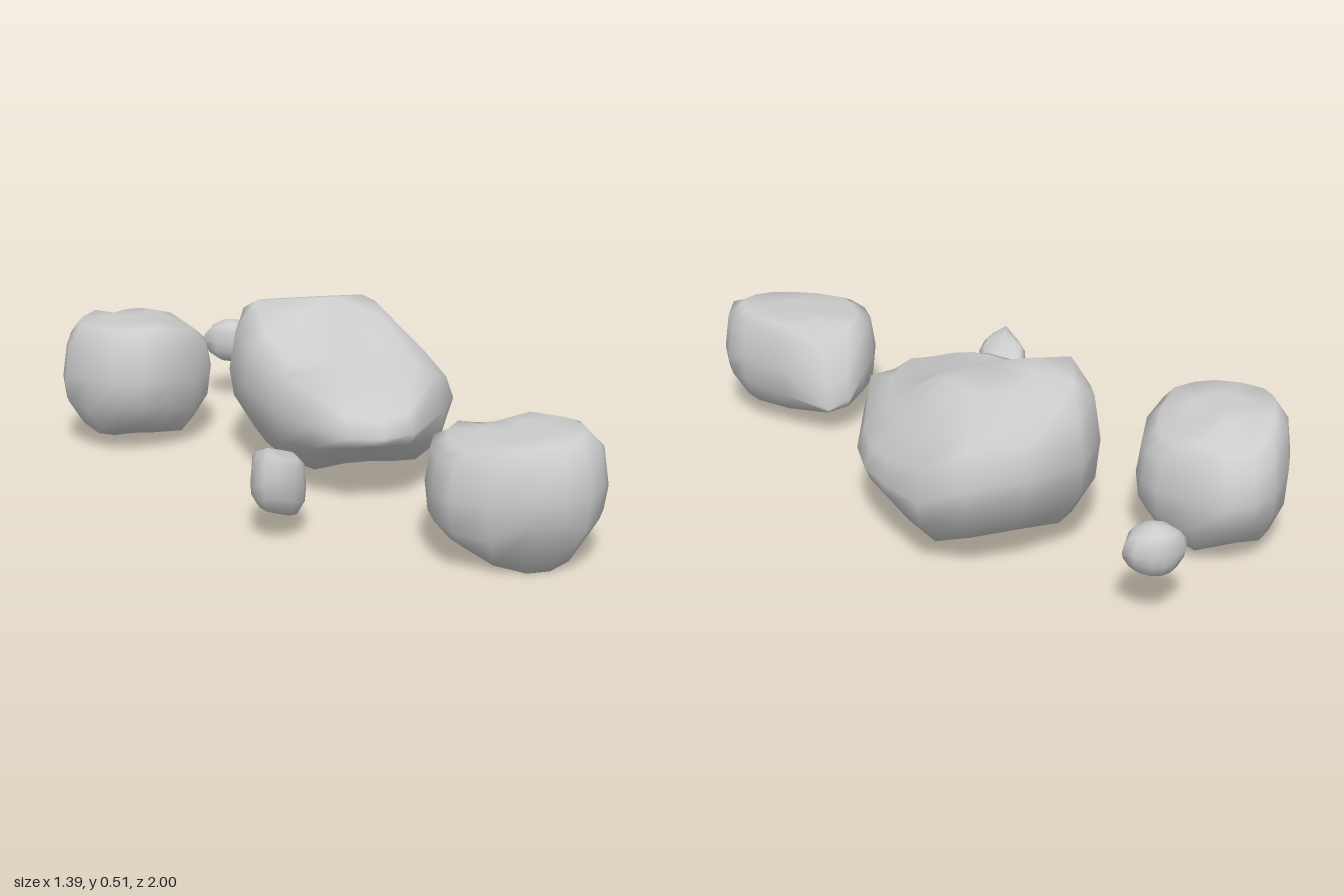
import * as THREE from 'three';

const { min, max } = Math;
const material = new THREE.MeshStandardMaterial({ color: 0xcccccc });

// Rings from underside to crown: [scale of the plan outline, height fraction]
const RINGS = [[0.45, 0], [0.76, 0], [0.96, 0.22], [1, 0.55], [0.94, 0.93], [0.76, 1], [0.4, 1]];

// A stone lofted from a rounded plan outline (x, z), between an upper and a lower height rule
function stone(name, [cx, cz], corners, top, low) {
  const curve = new THREE.CatmullRomCurve3(corners.map(([x, z]) => new THREE.Vector3(x, 0, z)), true);
  const n = corners.length * 2;
  const outline = Array.from({ length: n }, (_, j) => curve.getPoint(j / n));
  const pos = [], index = [];
  const add = (x, z, t) => pos.push(x, THREE.MathUtils.lerp(low(x, z), top(x, z), t), z);
  for (const [s, t] of RINGS)
    for (const p of outline) add(cx + (p.x - cx) * s, cz + (p.z - cz) * s, t);
  add(cx, cz, 0);
  add(cx, cz, 1);
  const under = RINGS.length * n, crown = under + 1, last = under - n;
  for (let j = 0; j < n; j++) {
    const k = (j + 1) % n;
    for (let a = j, b = k; a < last; a += n, b += n) index.push(b, a, a + n, b, a + n, b + n);
    index.push(under, j, k, last + k, last + j, crown);
  }
  const geo = new THREE.BufferGeometry();
  geo.setAttribute('position', new THREE.Float32BufferAttribute(pos, 3));
  geo.setIndex(index);
  geo.computeVertexNormals();
  const mesh = new THREE.Mesh(geo, material);
  mesh.name = name;
  return mesh;
}

export function createModel() {
  const group = new THREE.Group();
  group.name = 'rockCluster';

  // Large boulder: high ridge at the back, stepping down to a low shelf at the front
  group.add(stone('mainBoulder', [0.15, -0.23],
    [[-0.18, -0.27], [-0.02, -0.56], [0.36, -0.62], [0.5, -0.3], [0.5, -0.05], [0.27, 0.36], [0.07, 0.37], [-0.1, 0.1]],
    (x, z) => min(0.57 + 0.22 * z, max(0.35 - 0.74 * z, 0.375 - 0.6 * max(0, z - 0.2)), 0.8 - 1.05 * x, 0.64 + 1.3 * x),
    (x, z) => max(0.065, 0.5 * z, -0.2 - 0.6 * z, 0.024 - 0.7 * x, 0.9 * x - 0.3)));

  // Rounded block behind, with sloping shoulders
  group.add(stone('backBoulder', [-0.45, -0.55],
    [[-0.69, -0.44], [-0.67, -0.58], [-0.52, -0.78], [-0.36, -0.81], [-0.21, -0.64], [-0.21, -0.5], [-0.37, -0.31], [-0.55, -0.3]],
    (x, z) => min(0.41, 0.23 - 0.48 * x, 1.3 + 1.4 * x, 1.1 + z, 0.06 - z),
    (x, z) => max(0.03, 0.2 + 0.5 * x, -0.27 - 0.55 * x, -0.56 - 0.85 * z, 0.26 + 0.5 * z)));

  // Front boulder: pointed foot and a sloping back
  group.add(stone('frontBoulder', [0.45, 0.76],
    [[0.21, 0.72], [0.3, 0.55], [0.44, 0.49], [0.67, 0.71], [0.69, 0.87], [0.6, 0.98], [0.44, 1], [0.23, 0.91]],
    (x, z) => min(0.31 + 0.1 * x, 2.6 * (z - 0.44), 1.9 - 2.3 * x, 1.9 - 1.6 * z),
    (x, z) => max(0, 0.132 - 0.3 * x, 0.6 * (x - 0.52), min(0.07, 0.94 - z), 2 * (z - 0.94))));

  // Angular pebble at the front
  group.add(stone('frontPebble', [-0.17, 0.5],
    [[-0.245, 0.52], [-0.2, 0.4], [-0.12, 0.39], [-0.08, 0.5], [-0.13, 0.59], [-0.22, 0.605]],
    (x, z) => min(0.18 - 0.46 * x, 0.02 + 0.48 * z, 0.63 + 1.7 * x),
    (x, z) => max(0.04 - 0.29 * x, 0.44 - 0.8 * z, z - 0.49)));

  // Small domed pebble at the back
  const bulge = (x, z) => 6 * ((x + 0.075) ** 2 + (z + 0.93) ** 2);
  group.add(stone('backPebble', [-0.075, -0.93],
    [[-0.17, -0.94], [-0.11, -0.995], [-0.04, -0.995], [0.02, -0.93], [-0.07, -0.86]],
    (x, z) => 0.29 - bulge(x, z),
    (x, z) => 0.14 + bulge(x, z)));

  return group;
}
